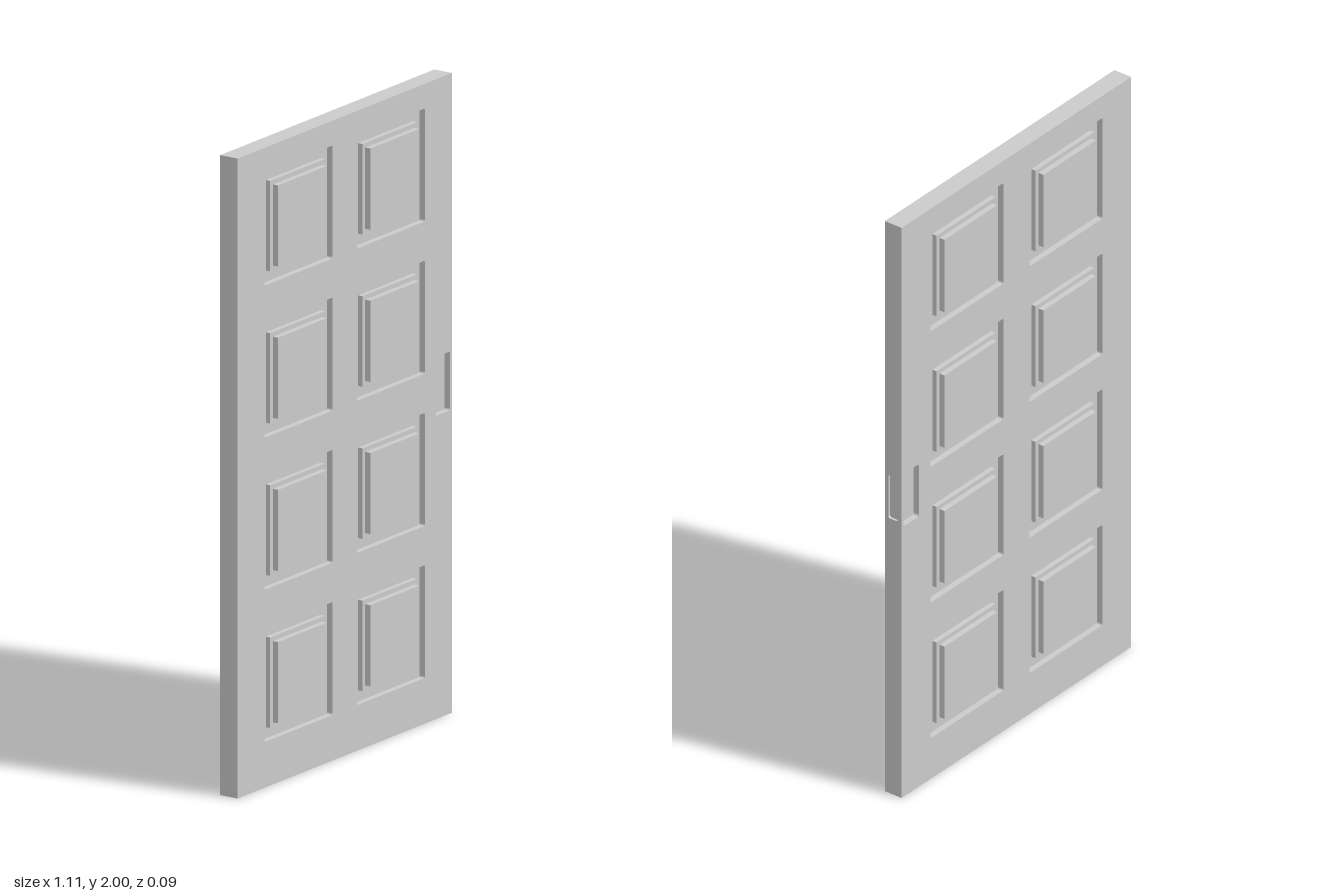
import * as THREE from 'three';

const W = 1.11, H = 2, HALF = 0.032;  // door width, height, half thickness
const CORE = 0.012;                   // half thickness at the recess floors
const LIP = 0.008;                    // depth of the pocket in the closing edge
const EDGE = W / 2 - LIP;

// Rounded rectangle about (cx, cy), as a shape or a hole
function roundedRect(path, cx, cy, w, h, r) {
  const x = w / 2 - r, y = h / 2 - r;
  path.moveTo(cx + x, cy - y - r);
  path.absarc(cx + x, cy - y, r, -Math.PI / 2, 0);
  path.absarc(cx + x, cy + y, r, 0, Math.PI / 2);
  path.absarc(cx - x, cy + y, r, Math.PI / 2, Math.PI);
  path.absarc(cx - x, cy - y, r, Math.PI, Math.PI * 1.5);
  path.closePath();
  return path;
}

function rectShape(x0, y0, x1, y1) {
  return new THREE.Shape([[x0, y0], [x1, y0], [x1, y1], [x0, y1]].map(p => new THREE.Vector2(...p)));
}

export function createModel() {
  const model = new THREE.Group();
  model.name = 'panelDoor';
  const material = new THREE.MeshStandardMaterial({ color: 0xcccccc });
  const add = (parent, name, geometry, x = 0, y = 0, z = 0) => {
    const mesh = new THREE.Mesh(geometry, material);
    mesh.name = name;
    mesh.position.set(x, y, z);
    parent.add(mesh);
    return mesh;
  };
  const extrude = (shape, depth) =>
    new THREE.ExtrudeGeometry(shape, { depth, bevelEnabled: false, curveSegments: 4 });

  // Core slab, forming the floor of every recess
  add(model, 'core', new THREE.BoxGeometry(W - LIP, H, CORE * 2), -LIP / 2, H / 2, 0);

  // Centres of the eight panels
  const centres = [];
  for (let row = 0; row < 4; row++)
    for (const x of [-0.239, 0.239]) centres.push([x, 0.319 + row * 0.4757]);

  // Face sheet with openings for the panels and the pull
  const sheet = rectShape(-W / 2, 0, EDGE, H);
  for (const [x, y] of centres)
    sheet.holes.push(roundedRect(new THREE.Path(), x, y, 0.353, 0.353, 0.006));
  sheet.holes.push(roundedRect(new THREE.Path(), 0.508, 1.04, 0.074, 0.184, 0.008));
  const frontSheet = extrude(sheet, HALF - CORE);

  // Same sheet for the back, shifted behind the core
  add(model, 'frontSheet', frontSheet, 0, 0, CORE);
  add(model, 'backSheet', frontSheet, 0, 0, -HALF);

  // Stepped raised panels on both faces
  const step = new THREE.BoxGeometry(0.283, 0.283, 0.016);
  const field = new THREE.BoxGeometry(0.254, 0.254, 0.0345);
  for (const [side, s] of [['front', 1], ['back', -1]])
    for (const [x, y] of centres) {
      const panel = new THREE.Group();
      panel.name = side + 'Panel';
      add(panel, 'panelStep', step, x, y, s * (CORE + 0.008));
      add(panel, 'panelField', field, x, y, s * (CORE + 0.01725));
      model.add(panel);
    }

  // Closing edge with a small rounded pocket
  const edge = rectShape(-HALF, 0, HALF, H);
  edge.holes.push(roundedRect(new THREE.Path(), 0, 1.04, 0.037, 0.152, 0.008));
  add(model, 'closingEdge', extrude(edge, LIP).rotateY(Math.PI / 2), EDGE, 0, 0);
  // Floor of the edge pocket
  add(model, 'edgePocketFloor', new THREE.BoxGeometry(0.002, 0.17, HALF * 1.8), EDGE - 0.001, 1.04, 0);

  return model;
}
